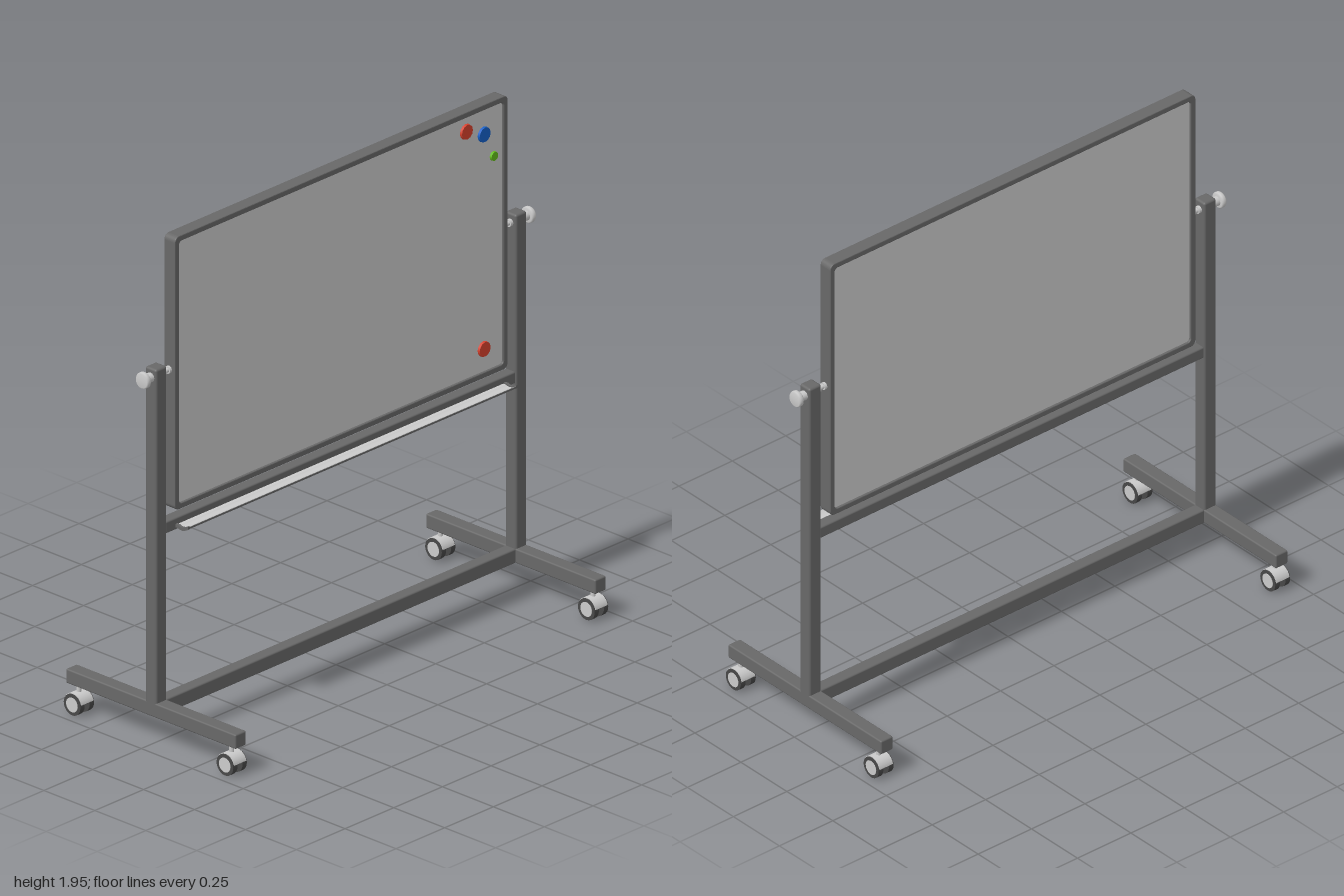
import * as THREE from 'three';
import { RoundedBoxGeometry } from 'three/addons/geometries/RoundedBoxGeometry.js';

const mat = (color) => new THREE.MeshStandardMaterial({ color });
const light = mat(0xcccccc), dark = mat(0x686868), black = mat(0x484848);
const red = mat(0xd8402c), blue = mat(0x1460c8), green = mat(0x62bd18);

function add(parent, name, geometry, material, x = 0, y = 0, z = 0) {
  const mesh = new THREE.Mesh(geometry, material);
  mesh.name = name;
  mesh.position.set(x, y, z);
  parent.add(mesh);
  return mesh;
}

const bar = (w, h, d, r = 0.006) => new RoundedBoxGeometry(w, h, d, 2, r);

// Cylinder lying along x
const axle = (r, length, sides = 24) => new THREE.CylinderGeometry(r, r, length, sides).rotateZ(Math.PI / 2);

function roundedRect(path, w, h, r) {
  const x = w / 2, y = h / 2;
  path.absarc(x - r, y - r, r, 0, Math.PI / 2);
  path.absarc(-x + r, y - r, r, Math.PI / 2, Math.PI);
  path.absarc(-x + r, -y + r, r, Math.PI, Math.PI * 1.5);
  path.absarc(x - r, -y + r, r, Math.PI * 1.5, Math.PI * 2);
  path.closePath();
  return path;
}

// Extrude a (z, y) outline along x, centred
function extrudeAlongX(shape, length) {
  const g = new THREE.ExtrudeGeometry(shape, { depth: length, bevelEnabled: false, curveSegments: 16 });
  return g.translate(0, 0, -length / 2).rotateY(-Math.PI / 2);
}

function createBoard() {
  const board = new THREE.Group();
  board.name = 'board';
  board.position.y = 1.417;
  const outline = roundedRect(new THREE.Shape(), 1.71, 1.064, 0.022);
  outline.holes.push(roundedRect(new THREE.Path(), 1.666, 1.02, 0.014));
  const frame = new THREE.ExtrudeGeometry(outline, {
    depth: 0.048, bevelThickness: 0.003, bevelSize: 0.003, bevelOffset: -0.003, bevelSegments: 2, curveSegments: 6,
  }).translate(0, 0, -0.024);
  add(board, 'boardFrame', frame, dark);
  add(board, 'writingPanel', new THREE.BoxGeometry(1.68, 1.034, 0.036), light);
  // Round magnets on the front
  for (const [x, y, r, material] of [
    [0.647, 1.87, 0.03, red], [0.738, 1.83, 0.03, blue], [0.788, 1.73, 0.018, green], [0.738, 0.995, 0.03, red],
  ]) {
    const magnet = new THREE.CylinderGeometry(r * 0.94, r, 0.01, 12).rotateX(Math.PI / 2);
    add(board, 'magnet', magnet, material, x, y - 1.417, 0.022);
  }
  return board;
}

// Curved pen tray: dark body with a light lining and end caps
function createTray() {
  const tray = new THREE.Group();
  tray.name = 'penTray';
  tray.position.y = 0.82;
  const sheet = (low, high) => {
    const s = new THREE.Shape();
    s.moveTo(0.02, low + 0.004);
    s.lineTo(0.036, low + 0.004);
    s.bezierCurveTo(0.05, low - 0.003, 0.065, low, 0.083, low + 0.012);
    s.lineTo(0.083, high + 0.012);
    s.bezierCurveTo(0.065, high, 0.05, high - 0.003, 0.036, high + 0.004);
    s.lineTo(0.02, high + 0.004);
    return s;
  };
  add(tray, 'trayBody', extrudeAlongX(sheet(-0.004, 0.003), 1.68), dark);
  add(tray, 'trayLining', extrudeAlongX(sheet(0.003, 0.005), 1.67), light);
  for (const side of [-1, 1]) add(tray, 'trayEnd', extrudeAlongX(sheet(-0.005, 0.008), 0.01), dark, side * 0.843);
  // Profile x became +z or -z depending on the turn, so face it forward
  tray.rotation.y = 0;
  return tray;
}

function createCaster() {
  const caster = new THREE.Group();
  caster.name = 'caster';
  add(caster, 'stem', new THREE.CylinderGeometry(0.009, 0.009, 0.04, 16), light, 0, 0.095, 0);
  // Hood arching over the twin wheels
  const arch = new THREE.Shape();
  arch.absarc(0, 0, 0.043, 0.2, Math.PI - 0.2, false);
  arch.absarc(0, 0, 0.035, Math.PI - 0.2, 0.2, true);
  arch.closePath();
  add(caster, 'hood', extrudeAlongX(arch, 0.062), light, 0, 0.041, 0);
  add(caster, 'wheelAxle', axle(0.014, 0.06, 16), black, 0, 0.041, 0);
  for (const side of [-1, 1]) {
    add(caster, 'wheel', axle(0.041, 0.022), black, side * 0.024, 0.041, 0);
    add(caster, 'hub', axle(0.028, 0.003), light, side * 0.035, 0.041, 0);
  }
  return caster;
}

// Clamp screw between post and board, with the knob outside
function createPivot(side) {
  const pivot = new THREE.Group();
  pivot.name = 'pivot';
  pivot.position.y = 1.43;
  add(pivot, 'pivotShaft', axle(0.009, 0.13), light, side * 0.915);
  add(pivot, 'innerCollar', axle(0.014, 0.012), light, side * 0.89);
  add(pivot, 'boardCollar', axle(0.014, 0.01), light, side * 0.862);
  add(pivot, 'knobNeck', axle(0.018, 0.032), light, side * 0.966);
  const profile = [[0, -0.011], [0.026, -0.011], [0.031, -0.006], [0.031, 0.005], [0.027, 0.011], [0, 0.011]];
  const knob = new THREE.LatheGeometry(profile.map(([r, y]) => new THREE.Vector2(r, y)), 24);
  add(pivot, 'knob', knob.rotateZ(-side * Math.PI / 2), light, side * 0.989);
  return pivot;
}

export function createModel() {
  const model = new THREE.Group();
  model.name = 'mobileWhiteboard';
  model.add(createBoard());

  // Cross rails
  add(model, 'middleRail', bar(1.8, 0.046, 0.046), dark, 0, 0.832, 0);
  add(model, 'bottomRail', bar(1.8, 0.056, 0.05), dark, 0, 0.138, 0);

  // Tray outline points along local x, which the extrusion turns to +z
  model.add(createTray());

  // Posts, feet, pivots and casters on both sides
  for (const side of [-1, 1]) {
    const x = side * 0.924;
    add(model, 'post', bar(0.056, 1.33, 0.055, 0.009), dark, x, 0.8, 0);
    add(model, 'foot', bar(0.056, 0.056, 0.833), dark, x, 0.138, 0);
    model.add(createPivot(side));
    for (const end of [-1, 1]) {
      const caster = createCaster();
      caster.position.set(side * 0.928, 0, end * 0.375);
      model.add(caster);
    }
  }
  return model;
}
